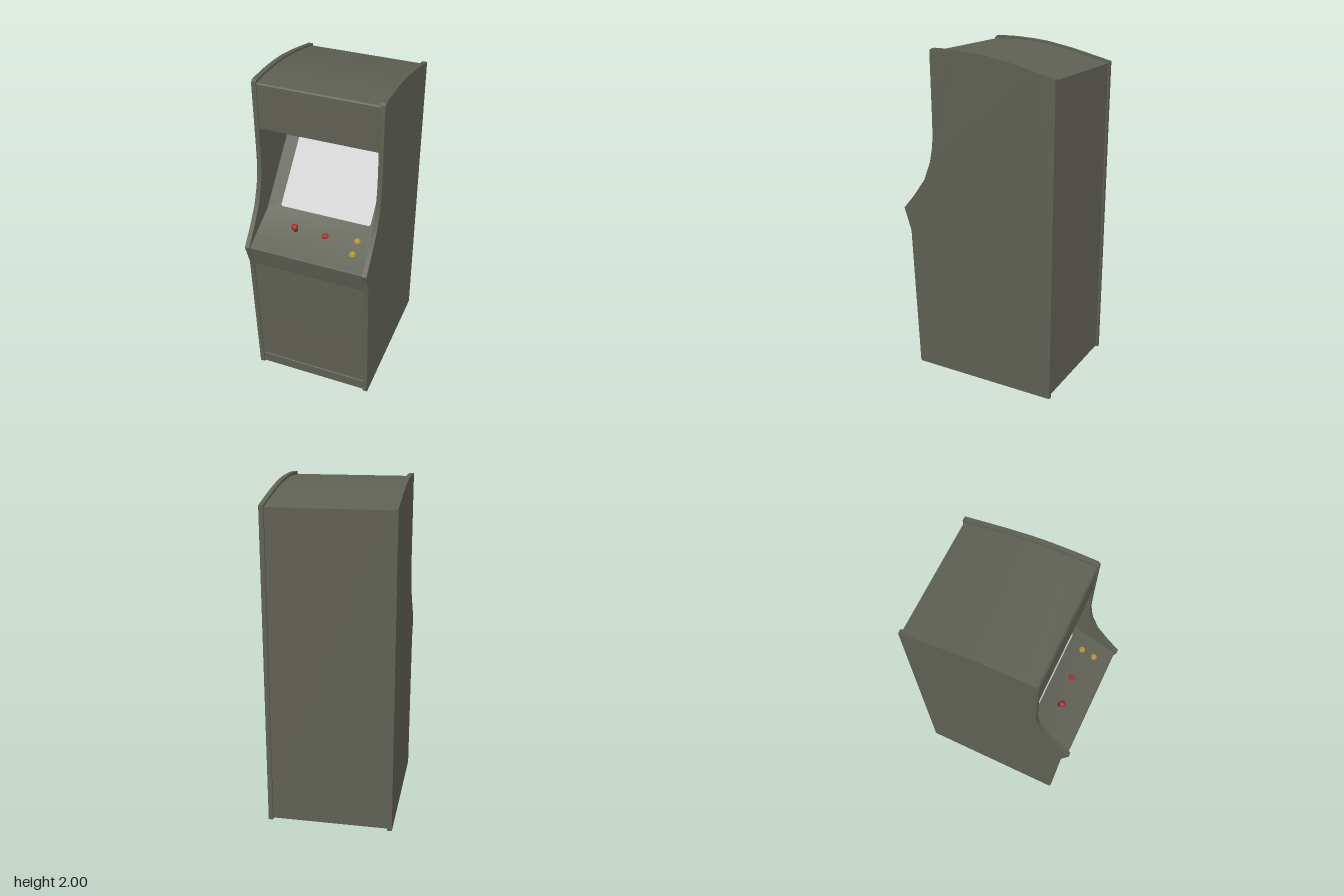
import * as THREE from 'three';
import { toCreasedNormals } from 'three/addons/utils/BufferGeometryUtils.js';

const paint = (color) => new THREE.MeshStandardMaterial({ color });
const cabinetPaint = paint(0x5f6054);
const screenGrey = paint(0xcccccc);
const red = paint(0xa82a2a);
const yellow = paint(0xb8922a);
const dark = paint(0x2b2b28);

// Extrude a (z, y) side profile across x, centred on x = 0
function slab(points, width) {
  const shape = new THREE.Shape(points.map(([z, y]) => new THREE.Vector2(z, y)));
  const geo = new THREE.ExtrudeGeometry(shape, { depth: width, bevelEnabled: false });
  geo.rotateY(-Math.PI / 2).translate(width / 2, 0, 0);
  return toCreasedNormals(geo, 0.5);
}

function add(parent, name, geo, material, x = 0, y = 0, z = 0) {
  const mesh = new THREE.Mesh(geo, material);
  mesh.name = name;
  mesh.position.set(x, y, z);
  parent.add(mesh);
  return mesh;
}

function roundedRect(w, h, r) {
  const s = new THREE.Shape();
  const x = w / 2, y = h / 2;
  s.absarc(x - r, y - r, r, 0, Math.PI / 2);
  s.absarc(-x + r, y - r, r, Math.PI / 2, Math.PI);
  s.absarc(-x + r, -y + r, r, Math.PI, Math.PI * 1.5);
  s.absarc(x - r, -y + r, r, Math.PI * 1.5, Math.PI * 2);
  return s;
}

export function createModel() {
  const model = new THREE.Group();
  model.name = 'arcadeCabinet';

  // Side panels with the full silhouette
  const sideProfile = [
    [-0.5, 0], [0.415, 0], [0.421, 0.01], [0.44, 0.5], [0.455, 0.89], [0.5, 1.03],
    [0.42, 1.125], [0.345, 1.23], [0.3, 1.345], [0.285, 1.42], [0.277, 1.49], [0.276, 1.6],
    [0.28, 1.975], [0.278, 1.99], [0.265, 2], [0.13, 2], [0, 1.992], [-0.1, 1.98],
    [-0.25, 1.951], [-0.4, 1.915], [-0.5, 1.89],
  ];
  for (const side of [-1, 1]) {
    add(model, side > 0 ? 'leftSidePanel' : 'rightSidePanel', slab(sideProfile, 0.027), cabinetPaint, side * 0.3615);
  }

  // Body between the sides: kick plate, lower panel, console, screen slope, marquee box
  const bodyProfile = [
    [-0.49, 0.008], [0.41, 0.008], [0.413, 0.08], [0.407, 0.083], [0.408, 0.102], [0.416, 0.105],
    [0.428, 0.505], [0.434, 0.512], [0.444, 0.88], [0.452, 0.885],
    [0.486, 1.015], [0.487, 1.023], [0.482, 1.03],
    [0.24, 1.14], [-0.262, 1.678], [0.262, 1.7], [0.27, 1.706],
    [0.272, 1.974], [0.266, 1.982], [0.13, 1.985], [0, 1.978], [-0.1, 1.966],
    [-0.25, 1.938], [-0.4, 1.902], [-0.49, 1.88],
  ];
  add(model, 'cabinetBody', slab(bodyProfile, 0.698), cabinetPaint);

  // Marquee panel and the speaker grille under it
  add(model, 'marqueePanel', new THREE.BoxGeometry(0.69, 0.238, 0.006), cabinetPaint, 0, 1.844, 0.272);
  add(model, 'speakerGrille', new THREE.BoxGeometry(0.21, 0.006, 0.1), dark, 0, 1.686, 0.02).rotation.x = -0.042;

  // Screen lying on the slope
  const screenGeo = new THREE.ExtrudeGeometry(roundedRect(0.56, 0.475, 0.012), {
    depth: 0.006, bevelEnabled: false, curveSegments: 5,
  });
  add(model, 'screen', screenGeo, screenGrey, 0.015, 1.34, 0.054).rotation.x = -0.751;

  // Controls standing square to the sloped console top
  const tilt = Math.atan2(0.11, 0.242);
  const control = (name, x, z) => {
    const g = new THREE.Group();
    g.name = name;
    g.position.set(x, 1.14 - (z - 0.24) * 0.4545, z);
    g.rotation.x = tilt;
    model.add(g);
    return g;
  };

  const stick = control('joystick', -0.125, 0.325);
  add(stick, 'stickBase', new THREE.CylinderGeometry(0.012, 0.014, 0.004, 20), dark, 0, 0.001);
  add(stick, 'stickShaft', new THREE.CylinderGeometry(0.005, 0.005, 0.03, 12), dark, 0, 0.015);
  add(stick, 'stickBall', new THREE.SphereGeometry(0.02, 24, 16), red, 0, 0.034);

  // Push buttons: flanged collar with a raised plunger
  const collar = [[0, 0], [0.019, 0], [0.019, 0.004], [0.016, 0.008], [0.013, 0.008], [0.013, 0.005]];
  const plunger = [[0.012, 0.004], [0.012, 0.012], [0.01, 0.0135], [0, 0.014]];
  const lathe = (pts) => toCreasedNormals(
    new THREE.LatheGeometry(pts.map(([r, y]) => new THREE.Vector2(r, y)), 24), 0.6);
  for (const [name, x, z, material] of [
    ['actionButton', 0.057, 0.32, red],
    ['rearStartButton', 0.25, 0.305, yellow],
    ['frontStartButton', 0.25, 0.385, yellow],
  ]) {
    const button = control(name, x, z);
    add(button, 'buttonCollar', lathe(collar), material);
    add(button, 'buttonPlunger', lathe(plunger), material);
  }

  return model;
}
